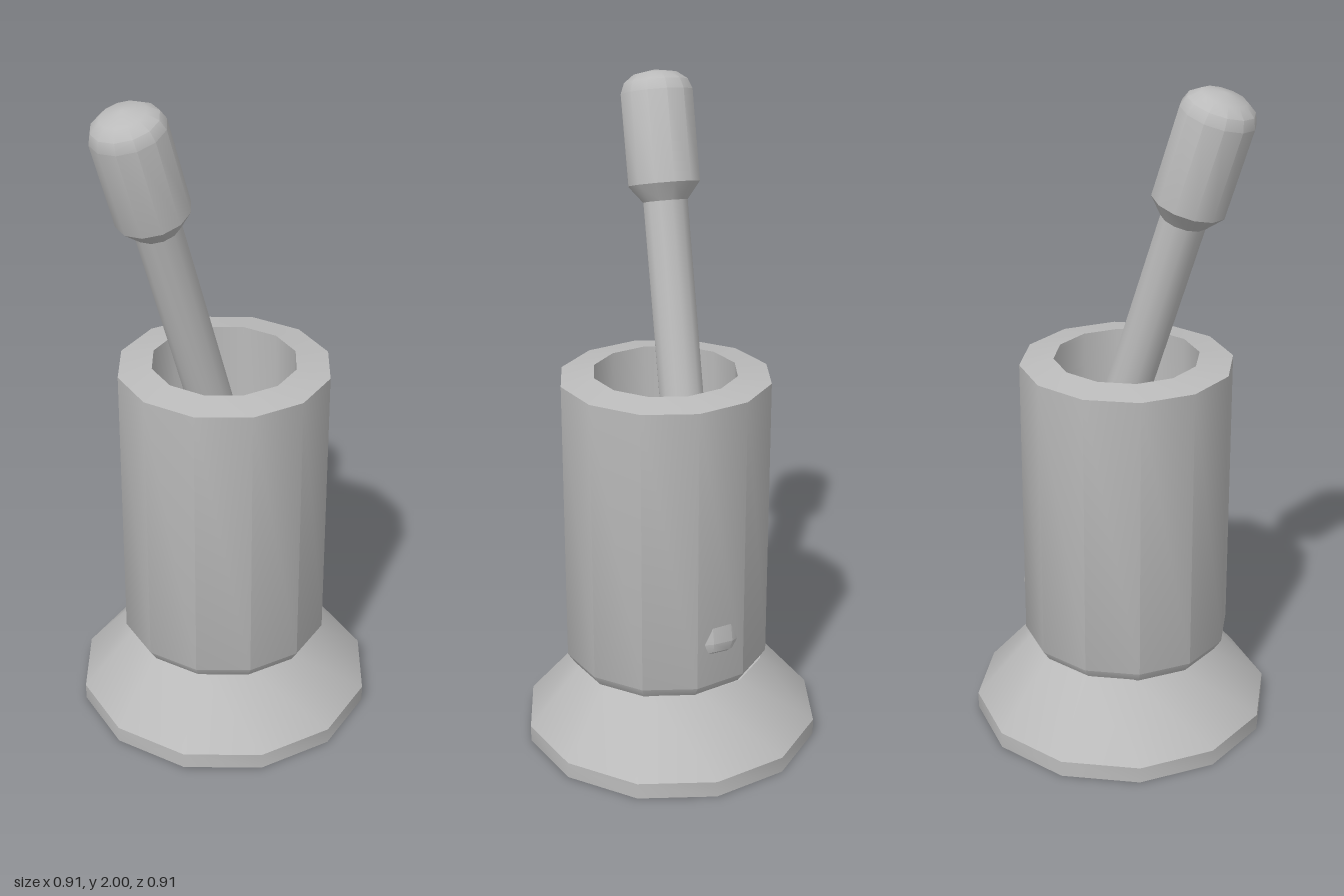
import * as THREE from 'three';
import { toCreasedNormals } from 'three/addons/utils/BufferGeometryUtils.js';

const stone = new THREE.MeshStandardMaterial({ color: 0xbbbbbb });
stone.name = 'grey stone';

// Twelve-sided turned part from [radius, height] pairs
function turned(name, profile) {
  const points = profile.map(([r, y]) => new THREE.Vector2(r, y));
  const geometry = toCreasedNormals(new THREE.LatheGeometry(points, 12), 0.6);
  const mesh = new THREE.Mesh(geometry, stone);
  mesh.name = name;
  return mesh;
}

export function createModel() {
  const model = new THREE.Group();
  model.name = 'mortarAndPestle';

  // Flared foot, hollow underneath, with a shallow bowl on top
  const foot = turned('foot', [
    [0, 0.14], [0.165, 0.14], [0.165, 0], [0.455, 0], [0.455, 0.05],
    [0.283, 0.25], [0.167, 0.25], [0.13, 0.17], [0, 0.17],
  ]);

  // Open thick-walled cup, set slightly off centre
  const cup = turned('cup', [
    [0.215, 0.245], [0.292, 0.245], [0.315, 0.28], [0.315, 1.16],
    [0.215, 1.175], [0.215, 0.245],
  ]);
  cup.position.set(0.005, 0, 0.017);

  // Leaning pestle: grinding head, shaft and grip; origin at the cup's mouth
  const pestle = turned('pestle', [
    [0, -0.89], [0.07, -0.88], [0.11, -0.86], [0.125, -0.833],
    [0.125, -0.555], [0.067, -0.48], [0.067, 0.47], [0.108, 0.52],
    [0.108, 0.785], [0.096, 0.815], [0.065, 0.838], [0, 0.85],
  ]);
  const lean = new THREE.Vector3(-0.164, 1, 0.267).normalize();
  pestle.quaternion.setFromUnitVectors(new THREE.Vector3(0, 1, 0), lean);
  pestle.position.set(-0.071, 1.18, 0.034);

  model.add(foot, cup, pestle);
  return model;
}
